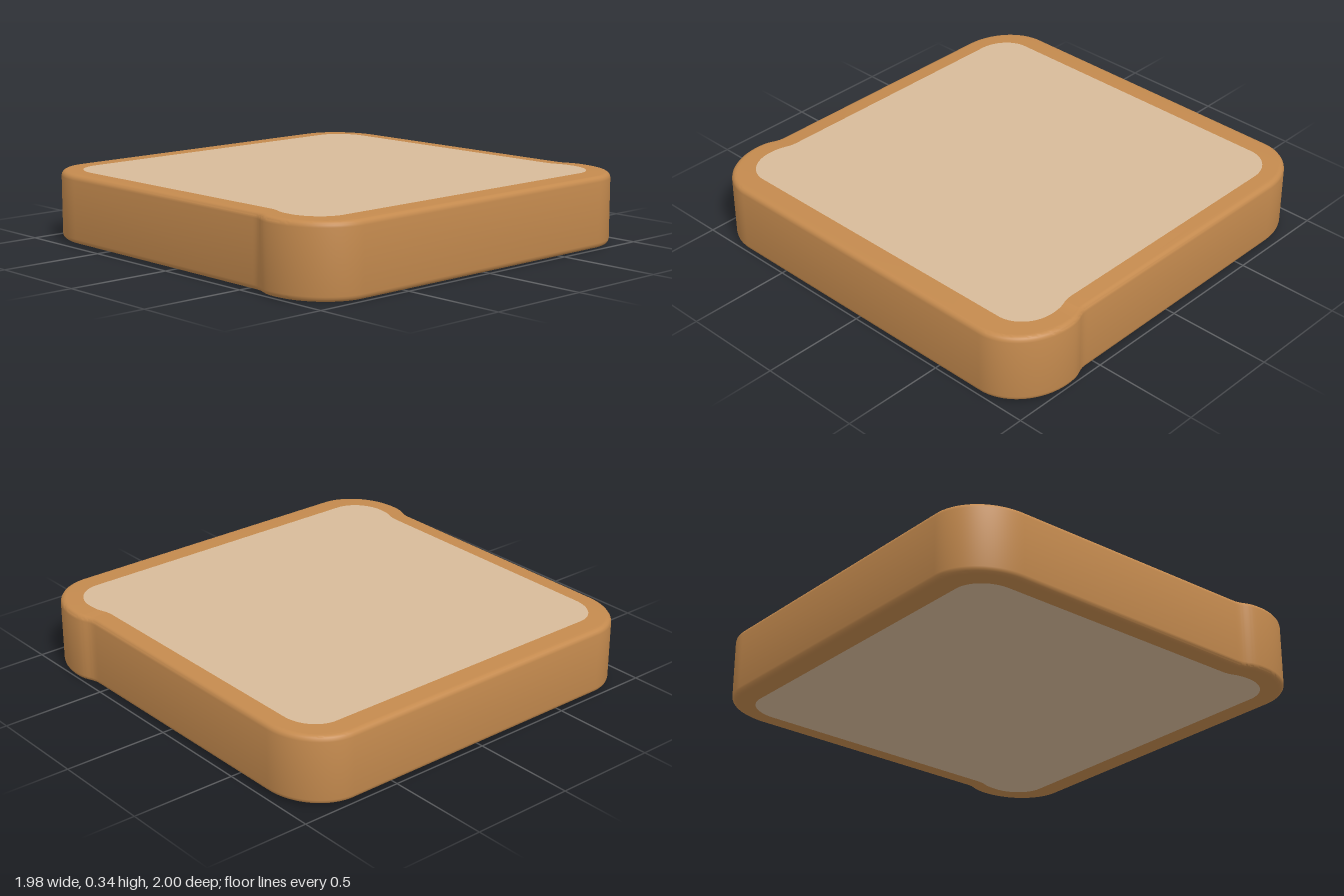
import * as THREE from 'three';
import { toCreasedNormals } from 'three/addons/utils/BufferGeometryUtils.js';

const MID = 0.17;     // mid height of the slice
const BEVEL = 0.025;

// Slice outline: rounded square with two bulging lobes on the +x side
function sliceOutline({ left, right, side, lobe }) {
  const lx = -0.71, lz = 0.73, rx = 0.7, rz = 0.75;
  const s = new THREE.Shape();
  s.moveTo(lx, -side);
  s.lineTo(0.55, -side);
  s.bezierCurveTo(0.62, -side, 0.61, -lobe, rx, -lobe);
  s.absellipse(rx, -rz, right - rx, lobe - rz, -Math.PI / 2, 0);
  s.absellipse(rx, rz, right - rx, lobe - rz, 0, Math.PI / 2);
  s.bezierCurveTo(0.61, lobe, 0.62, side, 0.55, side);
  s.lineTo(lx, side);
  s.absellipse(lx, lz, lx - left, side - lz, Math.PI / 2, Math.PI);
  s.absellipse(lx, -lz, lx - left, side - lz, Math.PI, Math.PI * 1.5);
  return s;
}

// The slice is very slightly thinner towards -x
function taper(geometry) {
  const p = geometry.attributes.position;
  for (let i = 0; i < p.count; i++) {
    p.setY(i, MID + p.getY(i) * (0.98 + 0.02 * p.getX(i)));
  }
  return geometry;
}

export function createModel() {
  const crustMat = new THREE.MeshStandardMaterial({ color: 0xc48a4e });
  crustMat.name = 'crust brown';
  const crumbMat = new THREE.MeshStandardMaterial({ color: 0xd7ba99 });
  crumbMat.name = 'crumb beige';

  const group = new THREE.Group();
  group.name = 'breadSlice';
  const add = (name, geometry, material) => {
    const mesh = new THREE.Mesh(geometry, material);
    mesh.name = name;
    group.add(mesh);
  };

  // Crust body with softly rounded rims
  const half = MID - 0.002;
  const body = new THREE.ExtrudeGeometry(
    sliceOutline({ left: -0.99, right: 0.99, side: 0.97, lobe: 1 }),
    {
      depth: 2 * (half - BEVEL), bevelThickness: BEVEL, bevelSize: BEVEL,
      bevelOffset: -BEVEL, bevelSegments: 4, curveSegments: 16,
    });
  body.translate(0, 0, BEVEL - half).rotateX(-Math.PI / 2);
  add('crust', toCreasedNormals(taper(body), 0.7), crustMat);

  // Flat crumb faces above and below
  const crumb = sliceOutline({ left: -0.875, right: 0.87, side: 0.875, lobe: 0.9 });
  for (const [name, dir] of [['crumbTop', 1], ['crumbBottom', -1]]) {
    const face = new THREE.ShapeGeometry(crumb, 16);
    face.rotateX(-dir * Math.PI / 2).translate(0, dir * MID, 0);
    add(name, taper(face), crumbMat);
  }
  return group;
}
